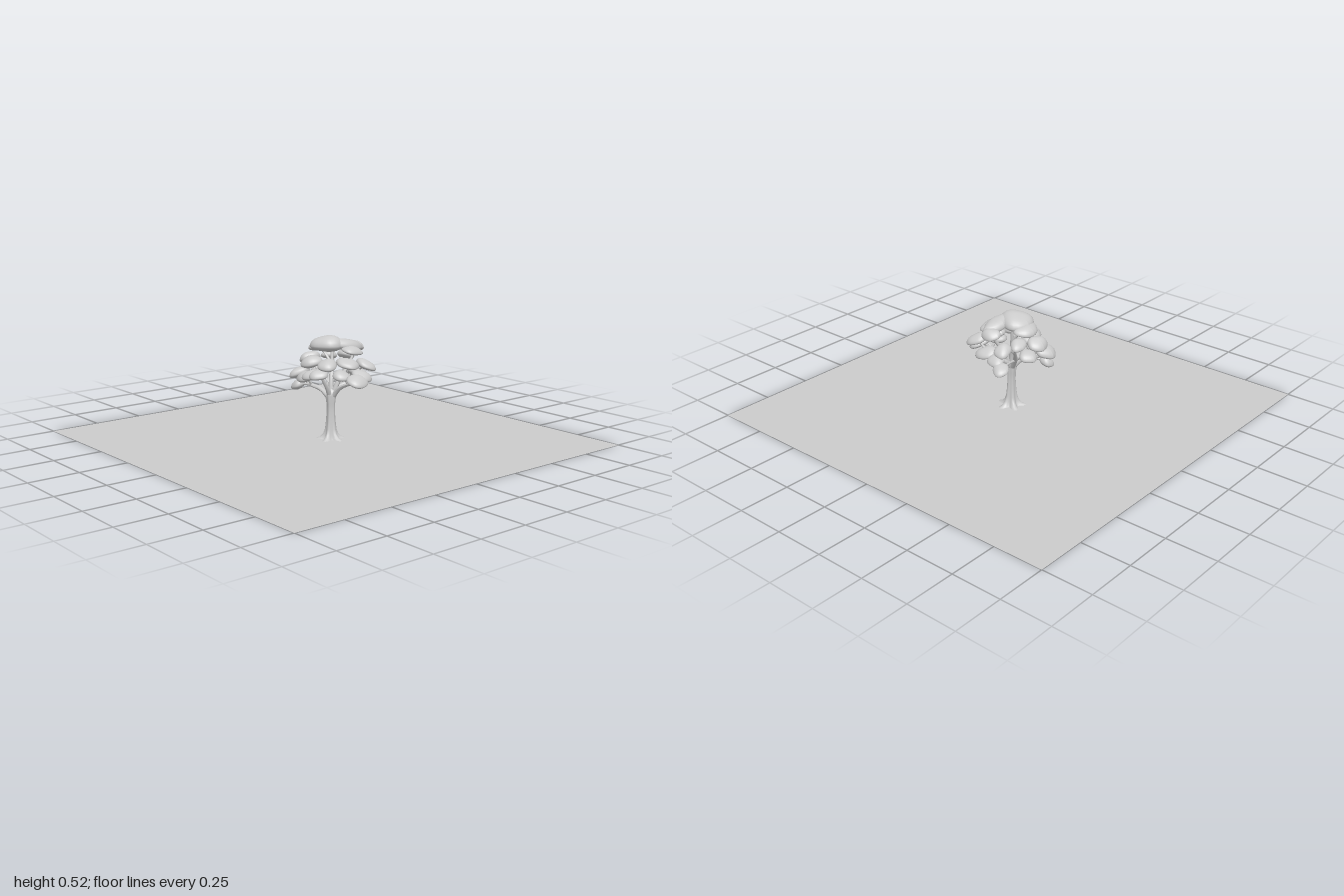
import * as THREE from 'three';

const material = new THREE.MeshStandardMaterial({ color: 0xcccccc, side: THREE.DoubleSide });

function addMesh(parent, name, geometry) {
  const mesh = new THREE.Mesh(geometry, material);
  mesh.name = name;
  parent.add(mesh);
  return mesh;
}

// Curved tube whose radius shrinks from r0 to r1
function taperedTube(points, r0, r1, segments = 12, sides = 8) {
  const curve = new THREE.CatmullRomCurve3(points);
  const geo = new THREE.TubeGeometry(curve, segments, 1, sides);
  const pos = geo.attributes.position, v = new THREE.Vector3();
  for (let i = 0; i < pos.count; i++) {
    const t = Math.floor(i / (sides + 1)) / segments;
    const c = curve.getPointAt(t);
    v.fromBufferAttribute(pos, i).sub(c).multiplyScalar(r0 + (r1 - r0) * t).add(c);
    pos.setXYZ(i, v.x, v.y, v.z);
  }
  geo.computeVertexNormals();
  return geo;
}

// Trunk with root ridges that spread out at the foot
function trunkGeometry() {
  const profile = [[0.056, 0], [0.043, 0.008], [0.033, 0.025], [0.027, 0.05], [0.023, 0.09],
    [0.02, 0.14], [0.021, 0.18], [0.026, 0.22], [0.024, 0.245], [0, 0.255]];
  const geo = new THREE.LatheGeometry(profile.map(p => new THREE.Vector2(...p)), 40);
  const pos = geo.attributes.position;
  for (let i = 0; i < pos.count; i++) {
    const x = pos.getX(i), y = pos.getY(i), z = pos.getZ(i);
    const ridge = 1 + (0.08 + 0.28 * Math.exp(-y / 0.025)) * Math.cos(5 * Math.atan2(z, x) + 0.4);
    pos.setXYZ(i, x * ridge + 0.01, y, z * ridge);
  }
  geo.computeVertexNormals();
  return geo;
}

// Lumpy cushion: domed above, nearly flat below, drooping at the outer edge
function clumpGeometry([x, y, z, rx, ry, rz], seed) {
  const geo = new THREE.SphereGeometry(1, 24, 16);
  const pos = geo.attributes.position;
  const out = new THREE.Vector2(x, z);
  const droop = 0.35 * Math.min(1, out.length() / 0.18);
  out.normalize();
  for (let i = 0; i < pos.count; i++) {
    const ux = pos.getX(i), uy = pos.getY(i), uz = pos.getZ(i);
    const lump = 1 + 0.09 * Math.sin(3 * ux + seed) * Math.cos(3 * uz + 2 * seed);
    const px = ux * rx * lump, pz = uz * rz * lump;
    const py = uy * ry * (uy > 0 ? 1 : 0.6) * lump;
    pos.setXYZ(i, x + px, y + py - droop * (px * out.x + pz * out.y), z + pz);
  }
  geo.computeVertexNormals();
  return geo;
}

export function createModel() {
  const model = new THREE.Group();

  addMesh(model, 'ground', new THREE.PlaneGeometry(2, 2).rotateX(-Math.PI / 2));

  const tree = new THREE.Group();
  tree.name = 'tree';
  model.add(tree);
  addMesh(tree, 'trunk', trunkGeometry());

  // Main limbs: path from the fork outwards
  const limbs = [
    [[0.01, 0.2, 0], [0.06, 0.26, -0.01], [0.12, 0.29, -0.02], [0.17, 0.3, -0.03]],
    [[0.01, 0.2, 0], [-0.03, 0.25, 0.03], [-0.08, 0.265, 0.05], [-0.13, 0.29, 0.06]],
    [[0.01, 0.2, 0], [0.01, 0.25, -0.04], [0.03, 0.28, -0.09], [0.02, 0.31, -0.14]],
    [[0.01, 0.2, 0], [0.02, 0.26, 0.03], [0.02, 0.31, 0.06], [0.02, 0.35, 0.08]],
    [[0.01, 0.2, 0], [0, 0.29, -0.01], [-0.02, 0.37, -0.03], [-0.03, 0.45, -0.04]],
    [[0.01, 0.2, 0], [0.03, 0.29, -0.03], [0.05, 0.36, -0.07], [0.06, 0.42, -0.1]],
    [[0.01, 0.2, 0], [-0.04, 0.27, -0.03], [-0.08, 0.34, -0.08], [-0.1, 0.38, -0.11]],
  ].map(path => path.map(p => new THREE.Vector3(...p)));
  for (const path of limbs) addMesh(tree, 'limb', taperedTube(path, 0.015, 0.006, 16));

  // Foliage clumps: centre x, y, z and radii x, y, z
  const clumps = [
    // crown
    [-0.03, 0.465, -0.01, 0.085, 0.05, 0.08],
    [0.025, 0.46, -0.09, 0.045, 0.038, 0.09],
    [-0.1, 0.445, -0.02, 0.05, 0.03, 0.07],
    [0.075, 0.44, -0.08, 0.045, 0.025, 0.06],
    [-0.01, 0.445, -0.175, 0.05, 0.028, 0.035],
    // middle tier
    [-0.16, 0.38, -0.005, 0.042, 0.036, 0.055],
    [-0.05, 0.385, 0.075, 0.06, 0.036, 0.055],
    [0.055, 0.38, 0.06, 0.05, 0.032, 0.05],
    [0.09, 0.38, -0.04, 0.055, 0.03, 0.055],
    [0.12, 0.37, -0.13, 0.05, 0.03, 0.045],
    [-0.09, 0.385, -0.18, 0.04, 0.03, 0.045],
    [-0.11, 0.39, -0.09, 0.035, 0.026, 0.045],
    // lower tier
    [-0.155, 0.315, 0.065, 0.045, 0.036, 0.055],
    [-0.08, 0.305, 0.085, 0.055, 0.032, 0.045],
    [-0.15, 0.255, 0.08, 0.035, 0.032, 0.035],
    [-0.02, 0.325, 0.1, 0.045, 0.03, 0.042],
    [0.03, 0.335, 0.095, 0.045, 0.028, 0.045],
    [0.1, 0.33, 0.01, 0.045, 0.028, 0.045],
    [0.18, 0.31, -0.025, 0.046, 0.03, 0.06],
    [0.15, 0.325, -0.08, 0.045, 0.028, 0.05],
    [0.05, 0.32, -0.14, 0.055, 0.03, 0.045],
    [-0.03, 0.31, -0.16, 0.045, 0.026, 0.04],
    [-0.08, 0.285, -0.185, 0.04, 0.024, 0.04],
    [-0.13, 0.32, -0.04, 0.04, 0.028, 0.045],
  ];
  clumps.forEach((c, i) => {
    addMesh(tree, 'foliage', clumpGeometry(c, i * 1.7));

    // Twig from the closest lower limb point to the clump
    const tip = new THREE.Vector3(c[0], c[1], c[2]);
    const start = limbs.flatMap(path => path.slice(1))
      .filter(p => p.y < tip.y - 0.01 || p.y < 0.27)
      .sort((a, b) => a.distanceTo(tip) - b.distanceTo(tip))[0];
    const middle = start.clone().lerp(tip, 0.5);
    middle.y += 0.006;
    addMesh(tree, 'twig', taperedTube([start, middle, tip], 0.0075, 0.004, 6, 6));
  });

  return model;
}
